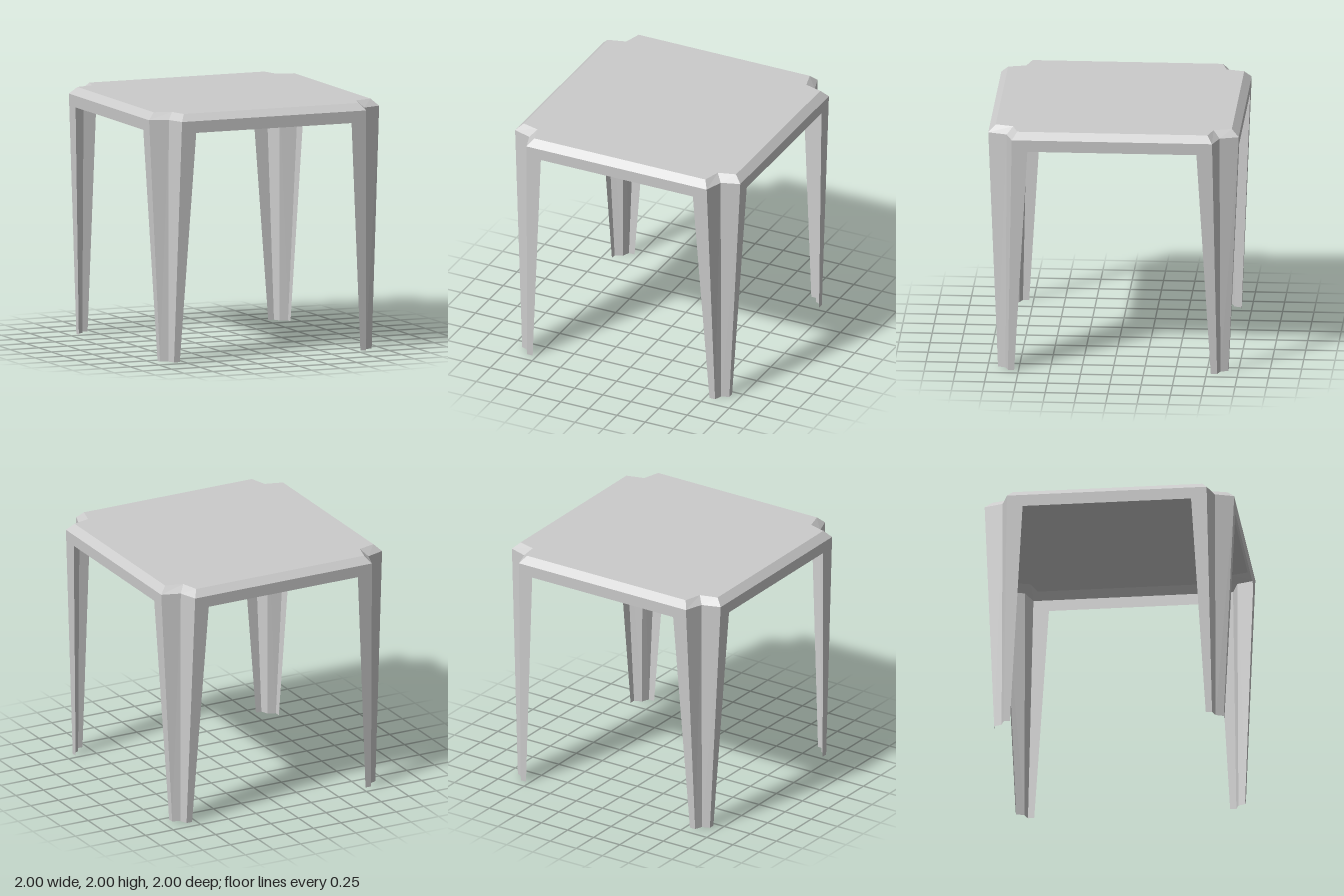
import * as THREE from 'three';

const RIM_Y = 1.945, TOP_Y = 2;
const material = new THREE.MeshStandardMaterial({
  color: 0xcccccc, flatShading: true, side: THREE.DoubleSide,
});

// Notched corner cross-sections as [x, z], running from the front face to the left face
const topCorner = [[0.76, 0.943], [0.8, 0.8], [0.943, 0.76]];
const rimCorner = [[0.8, 1], [0.85, 0.85], [1, 0.8]];
const footCorner = [[0.835, 0.92], [0.858, 0.858], [0.92, 0.835]];

// Repeat a corner at quarter turns to make the full outline
function outline(corner) {
  const ring = [];
  for (let i = 0; i < 4; i++) {
    for (const [x, z] of corner) {
      ring.push([[x, z], [z, -x], [-x, -z], [-z, x]][i]);
    }
  }
  return ring;
}

// Strip of quads between a lower and an upper cross-section
function strip(lower, lowY, upper, highY, closed) {
  const pos = [], n = lower.length;
  for (let i = 0; i < (closed ? n : n - 1); i++) {
    const j = (i + 1) % n;
    const a = [lower[i][0], lowY, lower[i][1]], b = [lower[j][0], lowY, lower[j][1]];
    const c = [upper[j][0], highY, upper[j][1]], d = [upper[i][0], highY, upper[i][1]];
    pos.push(...a, ...b, ...c, ...a, ...c, ...d);
  }
  const geo = new THREE.BufferGeometry();
  geo.setAttribute('position', new THREE.Float32BufferAttribute(pos, 3));
  geo.computeVertexNormals();
  return geo;
}

// Side sheet: apron and two half legs, leaning inward towards the floor
function sidePanel() {
  const half = [[0.8, RIM_Y], [0.835, 0], [0.785, 0], [0.675, 1.85]];
  const mirrored = half.map(([x, y]) => [-x, y]).reverse();
  const shape = new THREE.Shape([...half, ...mirrored].map((p) => new THREE.Vector2(...p)));
  const geo = new THREE.ShapeGeometry(shape);
  const p = geo.attributes.position;
  for (let i = 0; i < p.count; i++) p.setZ(i, 0.92 + 0.08 * p.getY(i) / RIM_Y);
  geo.computeVertexNormals();
  return geo;
}

export function createModel() {
  const group = new THREE.Group();
  const add = (name, geo, turn = 0) => {
    const mesh = new THREE.Mesh(geo, material);
    mesh.name = name;
    mesh.rotation.y = turn;
    group.add(mesh);
    return mesh;
  };

  // Flat top
  const topShape = new THREE.Shape(outline(topCorner).map(([x, z]) => new THREE.Vector2(x, -z)));
  const top = new THREE.ShapeGeometry(topShape).rotateX(-Math.PI / 2);
  add('top', top).position.y = TOP_Y;

  // Bevel around the top
  add('bevelledRim', strip(outline(rimCorner), RIM_Y, outline(topCorner), TOP_Y, true));

  // Four sides and four grooved leg corners
  const panel = sidePanel();
  const groove = strip(footCorner, 0, rimCorner, RIM_Y, false);
  const sides = ['front', 'left', 'back', 'right'];
  const corners = ['frontLeft', 'backLeft', 'backRight', 'frontRight'];
  for (let i = 0; i < 4; i++) {
    add(sides[i] + 'ApronAndLegs', panel, i * Math.PI / 2);
    add(corners[i] + 'LegGroove', groove, i * Math.PI / 2);
  }
  return group;
}
